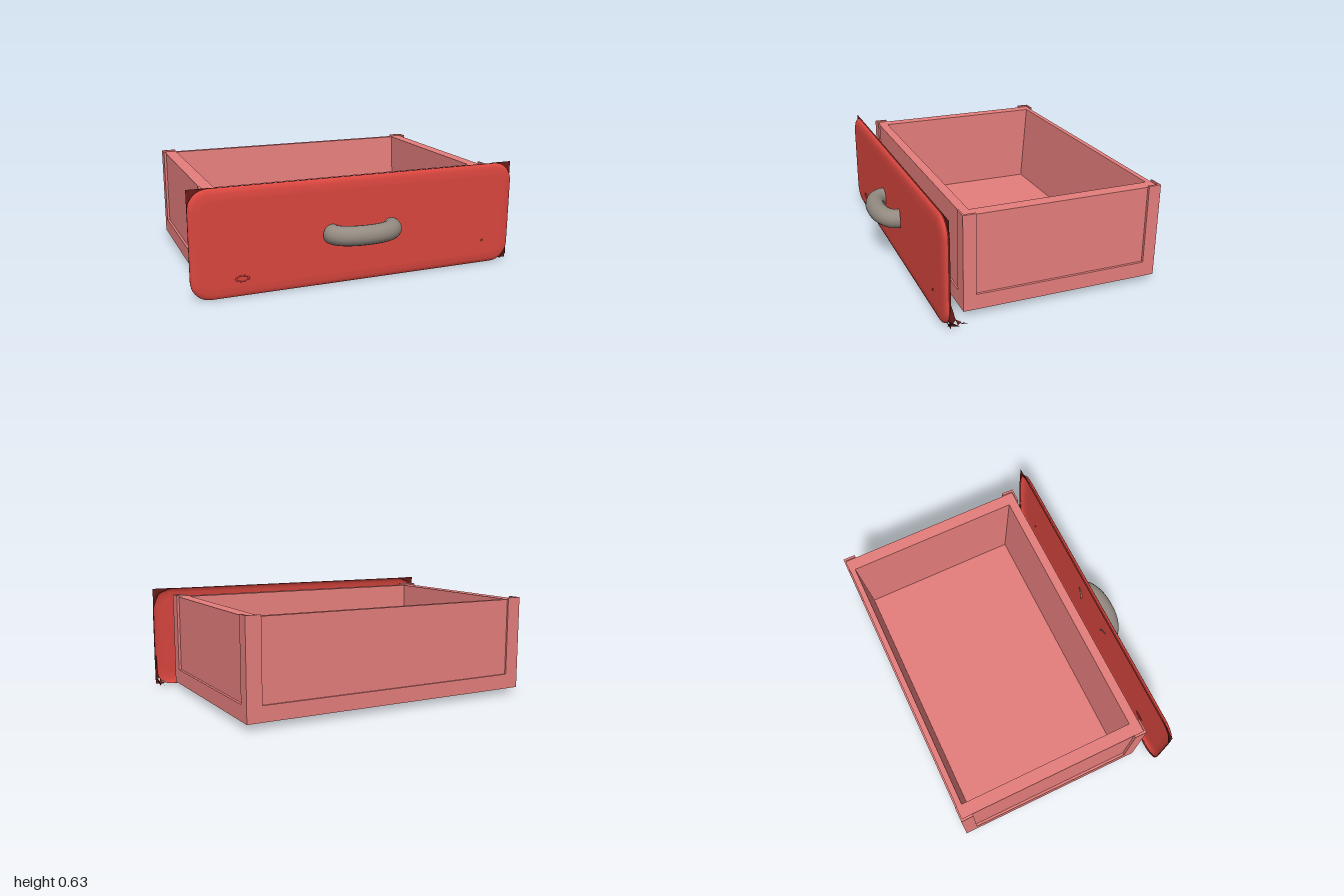
import * as THREE from 'three';

function material(name, color, side = THREE.FrontSide) {
  const m = new THREE.MeshStandardMaterial({ color, side });
  m.name = name;
  return m;
}
const boxRed = material('drawer box dusty red', 0xe57e7c);
const frontRed = material('drawer front red', 0xda463f, THREE.DoubleSide);
const darkRed = material('ragged edge dark red', 0x6a1c19, THREE.DoubleSide);
const gray = material('handle warm gray', 0x938a81);

const X = 0.9, BACK = -0.735, FRONT = 0.445, BASE = 0.035;

function add(group, name, geometry, mat) {
  const mesh = new THREE.Mesh(geometry, mat);
  mesh.name = name;
  group.add(mesh);
}

// box given by its min and max corners
function span(x0, x1, y0, y1, z0, z1) {
  return new THREE.BoxGeometry(x1 - x0, y1 - y0, z1 - z0)
    .translate((x0 + x1) / 2, (y0 + y1) / 2, (z0 + z1) / 2);
}

const polygon = pts => new THREE.Shape(pts.map(p => new THREE.Vector2(...p)));

// plan outline in (x, -z), extruded upwards
function upright(shape, y0, y1) {
  return new THREE.ExtrudeGeometry(shape, { depth: y1 - y0, bevelEnabled: false })
    .rotateX(-Math.PI / 2).translate(0, y0, 0);
}

// rectangular frame around the drawer with the given opening
function ring(x, zBack, zFront, y0, y1) {
  const s = polygon([[-X, -FRONT], [X, -FRONT], [X, -BACK], [-X, -BACK]]);
  s.holes.push(polygon([[-x, -zFront], [-x, -zBack], [x, -zBack], [x, -zFront]]));
  return upright(s, y0, y1);
}

function buildBox() {
  const g = new THREE.Group();
  g.name = 'drawerBox';

  // bottom frame, lower rail and recessed floor
  add(g, 'bottomFrame', ring(0.825, -0.66, 0.37, BASE, 0.065), boxRed);
  add(g, 'lowerRail', ring(0.86, -0.71, 0.41, 0.065, 0.125), boxRed);
  add(g, 'floor', span(-0.85, 0.85, 0.045, 0.07, -0.7, 0.4), boxRed);

  // side walls, set in slightly from the rail
  for (const s of [-1, 1]) {
    const mid = s * 0.8475;
    add(g, s > 0 ? 'leftWall' : 'rightWall',
      span(mid - 0.0375, mid + 0.0375, 0.068, 0.585, -0.725, 0.435), boxRed);
  }

  // front and back walls, thicker towards the floor: profile in (z, y) along x
  const wall = (name, outer, top, bottom) => {
    const geo = new THREE.ExtrudeGeometry(
      polygon([[outer, 0.068], [bottom, 0.068], [top, 0.585], [outer, 0.585]]),
      { depth: 1.62, bevelEnabled: false });
    add(g, name, geo.rotateY(-Math.PI / 2).translate(0.81, 0, 0), boxRed);
  };
  wall('backWall', -0.725, -0.693, -0.657);
  wall('frontWall', 0.435, 0.38, 0.345);

  // thin L-shaped corner posts rising just above the walls
  for (const sx of [-1, 1]) for (const sz of [-1, 1]) {
    const zOut = sz > 0 ? FRONT : BACK;
    const pts = [[0, 0], [0.088, 0], [0.088, 0.01], [0.015, 0.01], [0.015, 0.075], [0, 0.075]]
      .map(([dx, dz]) => [sx * (X - dx), -(zOut - sz * dz)]);
    add(g, 'cornerPost', upright(polygon(pts), 0.12, 0.595), boxRed);
  }
  return g;
}

// rounded outline of the drawer front, inset from its edge, counter-clockwise
function outline(inset) {
  const a = 1 - inset, b = 0.312 - inset, r = 0.115 - inset, pts = [];
  const corners = [[1, 1], [-1, 1], [-1, -1], [1, -1]];
  corners.forEach(([sx, sy], c) => {
    for (let i = 0; i <= 10; i++) {
      const t = (c + i / 10) * Math.PI / 2;
      pts.push([sx * (a - r) + r * Math.cos(t), 0.312 + sy * (b - r) + r * Math.sin(t)]);
    }
  });
  return pts;
}

// skin over a series of [inset, z] outlines
function shell(levels) {
  const pos = [], index = [], n = outline(0).length;
  for (const [inset, z] of levels) for (const [x, y] of outline(inset)) pos.push(x, y, z);
  for (let l = 0; l < levels.length - 1; l++) for (let i = 0; i < n; i++) {
    const j = (i + 1) % n, a = l * n + i, b = l * n + j;
    index.push(a, b, b + n, a, b + n, a + n);
  }
  const geo = new THREE.BufferGeometry();
  geo.setAttribute('position', new THREE.Float32BufferAttribute(pos, 3));
  geo.setIndex(index);
  geo.computeVertexNormals();
  return geo;
}

function buildFront() {
  const g = new THREE.Group();
  g.name = 'drawerFront';

  // thin pressed panel, open at the back, with edges curling backwards
  add(g, 'panelFace', new THREE.ShapeGeometry(polygon(outline(0.065))).translate(0, 0, 0.584), frontRed);
  add(g, 'panelEdge', shell([[0, 0.561], [0.004, 0.569], [0.012, 0.576], [0.03, 0.582], [0.065, 0.584]]), frontRed);
  add(g, 'panelRim', shell([[0.001, 0.549], [0, 0.561]]), darkRed);

  // thin pointed flaps behind the corners
  const flap = (x, y, sx, sy, size) => {
    const s = polygon([[x, y], [x - sx * size, y], [x - sx * size * 0.3, y - sy * size * 0.25], [x, y - sy * size]]);
    add(g, 'cornerFlap', new THREE.ShapeGeometry(s).translate(0, 0, 0.552), darkRed);
  };
  flap(-1, 0.626, -1, 1, 0.13);
  flap(1, 0.626, 1, 1, 0.13);
  flap(1, 0.01, 1, -1, 0.07);

  // ragged splinters curling back at the lower left corner
  const splinter = pts => {
    const geo = new THREE.BufferGeometry();
    geo.setAttribute('position', new THREE.Float32BufferAttribute(pts, 3));
    geo.computeVertexNormals();
    add(g, 'splinter', geo, darkRed);
  };
  splinter([0.99, 0.2, 0.56, 1, 0.03, 0.56, 0.99, 0.05, 0.52]);
  splinter([0.96, 0.005, 0.56, 1, 0.05, 0.55, 0.985, 0.005, 0.495]);
  splinter([0.98, 0.05, 0.52, 0.99, 0.02, 0.51, 0.97, 0.02, 0.48]);
  splinter([0.97, 0.01, 0.49, 0.985, 0.025, 0.475, 0.965, 0.002, 0.446]);

  // small blemishes showing on both faces
  for (const [x, y, w, h] of [[-0.715, 0.108, 0.036, 0.017], [0.805, 0.15, 0.006, 0.007]]) {
    const rim = new THREE.TorusGeometry(1, 0.18, 6, 14).scale(w, h, 0.012);
    add(g, 'blemish', rim.translate(x, y, 0.584), frontRed);
  }
  return g;
}

function buildHandle() {
  const path = new THREE.CatmullRomCurve3([
    [-0.185, 0.583], [-0.18, 0.609], [-0.145, 0.645], [-0.075, 0.67], [0, 0.676],
    [0.075, 0.67], [0.145, 0.645], [0.18, 0.609], [0.185, 0.583],
  ].map(([x, z]) => new THREE.Vector3(x - 0.005, 0.305, z)));
  const mesh = new THREE.Mesh(new THREE.TubeGeometry(path, 48, 0.057, 20), gray);
  mesh.name = 'handle';
  return mesh;
}

export function createModel() {
  const model = new THREE.Group();
  model.name = 'drawer';
  model.add(buildBox(), buildFront(), buildHandle());
  return model;
}
